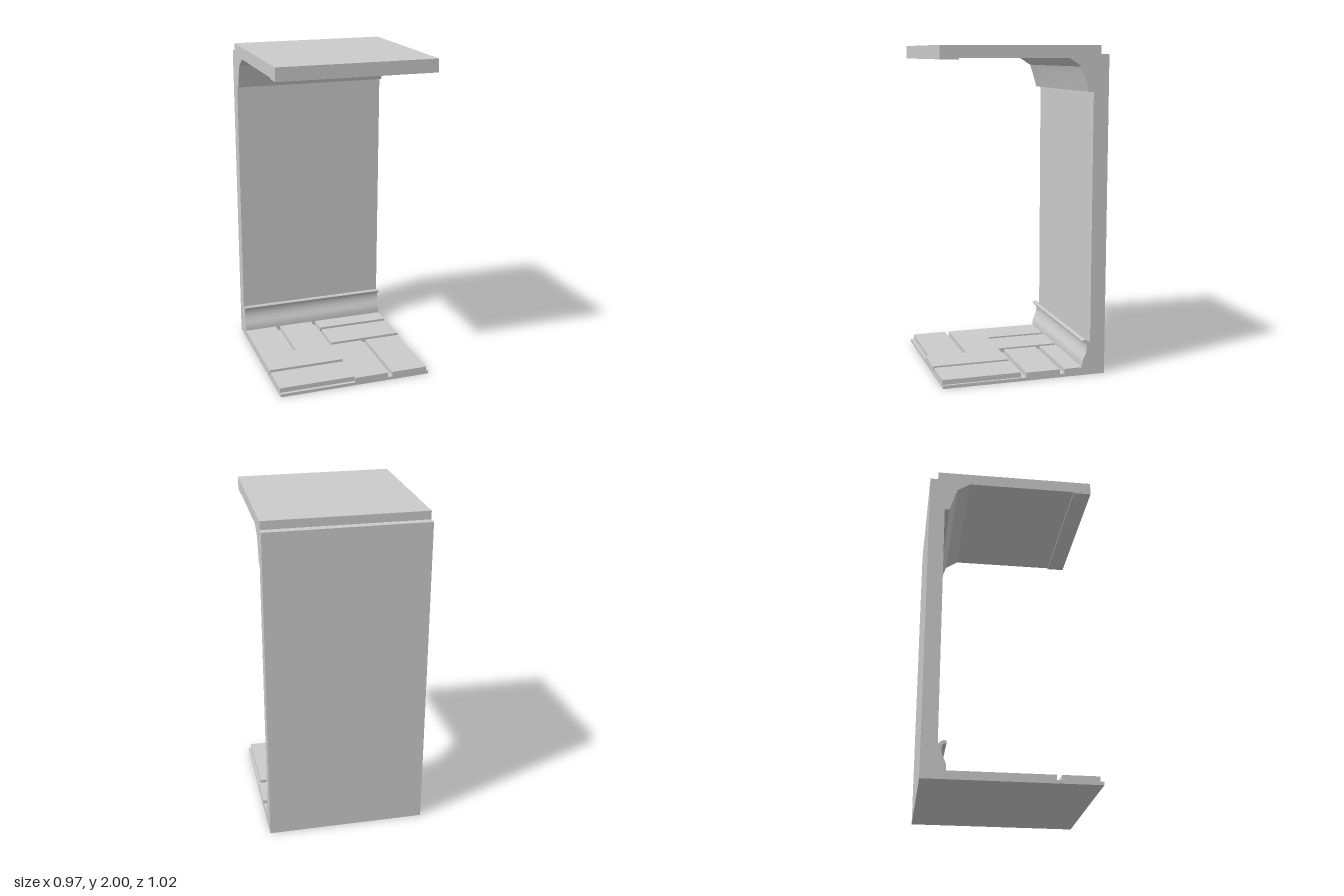
import * as THREE from 'three';
import { toCreasedNormals } from 'three/addons/utils/BufferGeometryUtils.js';

const WIDTH = 0.97;
const X = WIDTH / 2;
const material = new THREE.MeshStandardMaterial({ color: 0xcccccc });

const shapeOf = (points) => new THREE.Shape(points.map(([a, b]) => new THREE.Vector2(a, b)));

// Section given as [z, y], swept across the full width
function sweep(points) {
  const g = new THREE.ExtrudeGeometry(shapeOf(points), { depth: WIDTH, bevelEnabled: false });
  g.translate(0, 0, -X);
  g.rotateY(-Math.PI / 2);
  return toCreasedNormals(g, 0.5);
}

// Raised slab given as an [x, z] outline
function slab(points, bottom, top) {
  const g = new THREE.ExtrudeGeometry(shapeOf(points), { depth: top - bottom, bevelEnabled: false });
  g.rotateX(Math.PI / 2);
  g.translate(0, top, 0);
  return g;
}

const rect = (x0, x1, z0, z1) => [[x0, z0], [x1, z0], [x1, z1], [x0, z1]];

export function createModel() {
  const group = new THREE.Group();
  const add = (name, geometry) => {
    const mesh = new THREE.Mesh(geometry, material);
    mesh.name = name;
    group.add(mesh);
  };

  // Floor base, wall and ceiling as one continuous section
  add('corridorShell', sweep([
    [0.51, 0], [-0.51, 0],
    // back of the wall and stepped top edge
    [-0.51, 1.95], [-0.46, 1.95], [-0.46, 2],
    // ceiling with a front rim underneath
    [0.51, 2], [0.51, 1.92], [0.4, 1.92], [0.4, 1.927], [-0.26, 1.927],
    // cove under the ceiling
    [-0.3, 1.902], [-0.338, 1.877], [-0.352, 1.84], [-0.385, 1.73], [-0.415, 1.73],
    // inner wall, curled lip and flared skirting
    [-0.415, 0.2], [-0.395, 0.219], [-0.385, 0.223], [-0.37, 0.222], [-0.365, 0.215],
    [-0.368, 0.207], [-0.382, 0.202], [-0.391, 0.192], [-0.394, 0.178], [-0.393, 0.155],
    [-0.386, 0.13], [-0.374, 0.105], [-0.367, 0.085], [-0.365, 0.06], [-0.365, 0.02],
    [0.51, 0.02],
  ]));

  // Main floor plate, notched by the dead-end grooves
  const back = -0.37;
  add('mainFloorPlate', slab([
    [-X, back], [-0.275, back], [-0.275, 0.025], [-0.245, 0.025], [-0.245, back],
    [-0.02, back], [-0.02, 0.025], [0.21, 0.025], [0.21, 0.51],
    [-0.005, 0.51], [-0.005, 0.49], [-X, 0.49], [-X, 0.275],
    [0, 0.275], [0, 0.245], [-X, 0.245],
  ], 0.02, 0.05));

  // Separate rectangular floor plates
  add('frontFloorPlate', slab(rect(0.24, 0.47, 0.025, 0.51), 0.02, 0.05));
  add('middleFloorPlate', slab(rect(0.01, X, -0.22, -0.005), 0.02, 0.05));
  add('rearFloorPlate', slab(rect(0.01, X, back, -0.25), 0.02, 0.05));

  return group;
}
